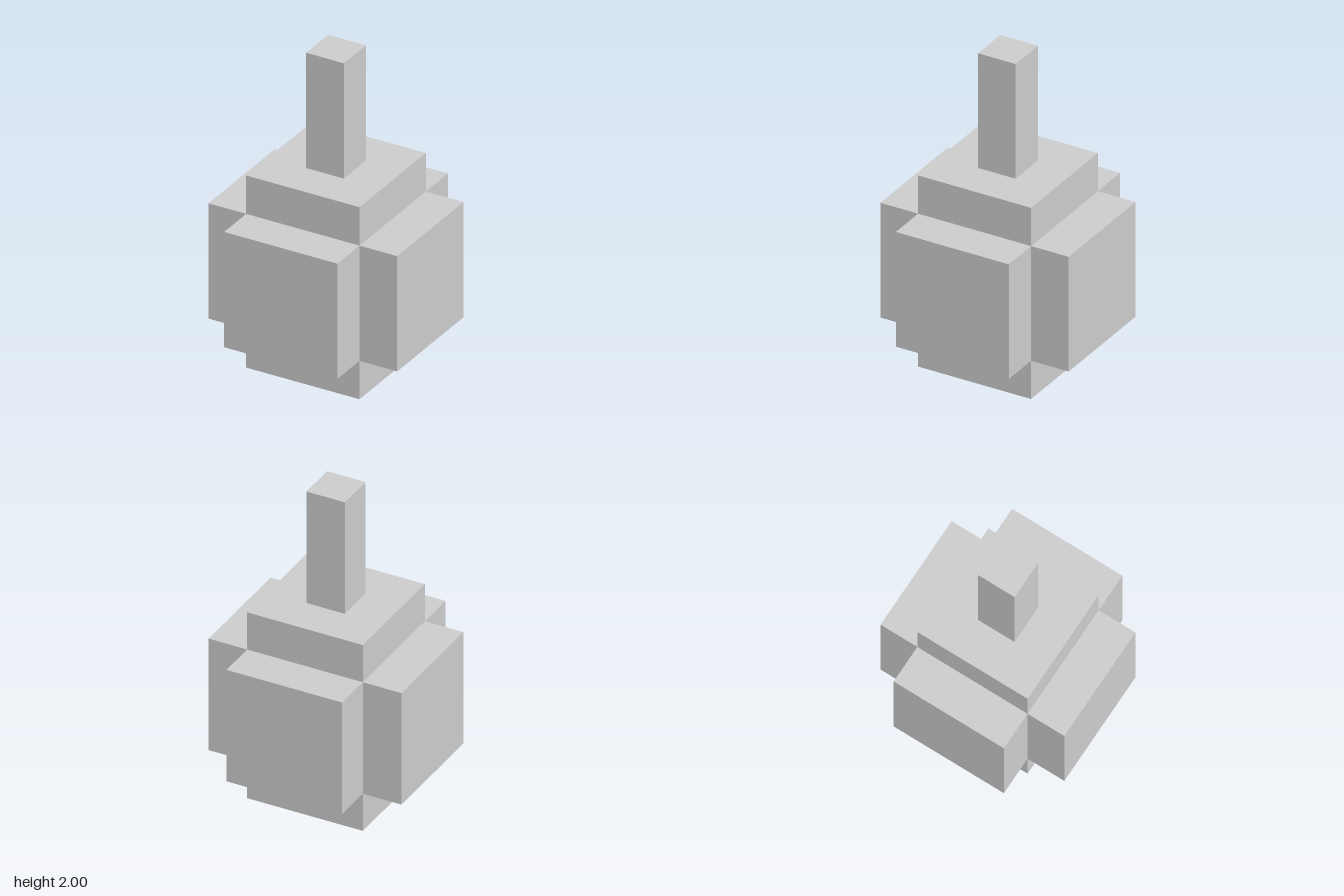
import * as THREE from 'three';

export function createModel() {
  const group = new THREE.Group();
  const material = new THREE.MeshStandardMaterial({ color: 0xcccccc, flatShading: true });

  function addBox(name, width, height, depth, bottom) {
    const mesh = new THREE.Mesh(new THREE.BoxGeometry(width, height, depth), material);
    mesh.name = name;
    mesh.position.y = bottom + height / 2;
    group.add(mesh);
  }

  // Three crossing blocks form the rounded-off body
  addBox('bodyUpright', 0.75, 1.25, 0.75, 0);
  addBox('bodySideToSide', 1.25, 0.75, 0.75, 0.25);
  addBox('bodyFrontToBack', 0.75, 0.75, 1.25, 0.25);

  // Square stem standing on the body
  addBox('stem', 0.25, 0.75, 0.25, 1.25);

  return group;
}
